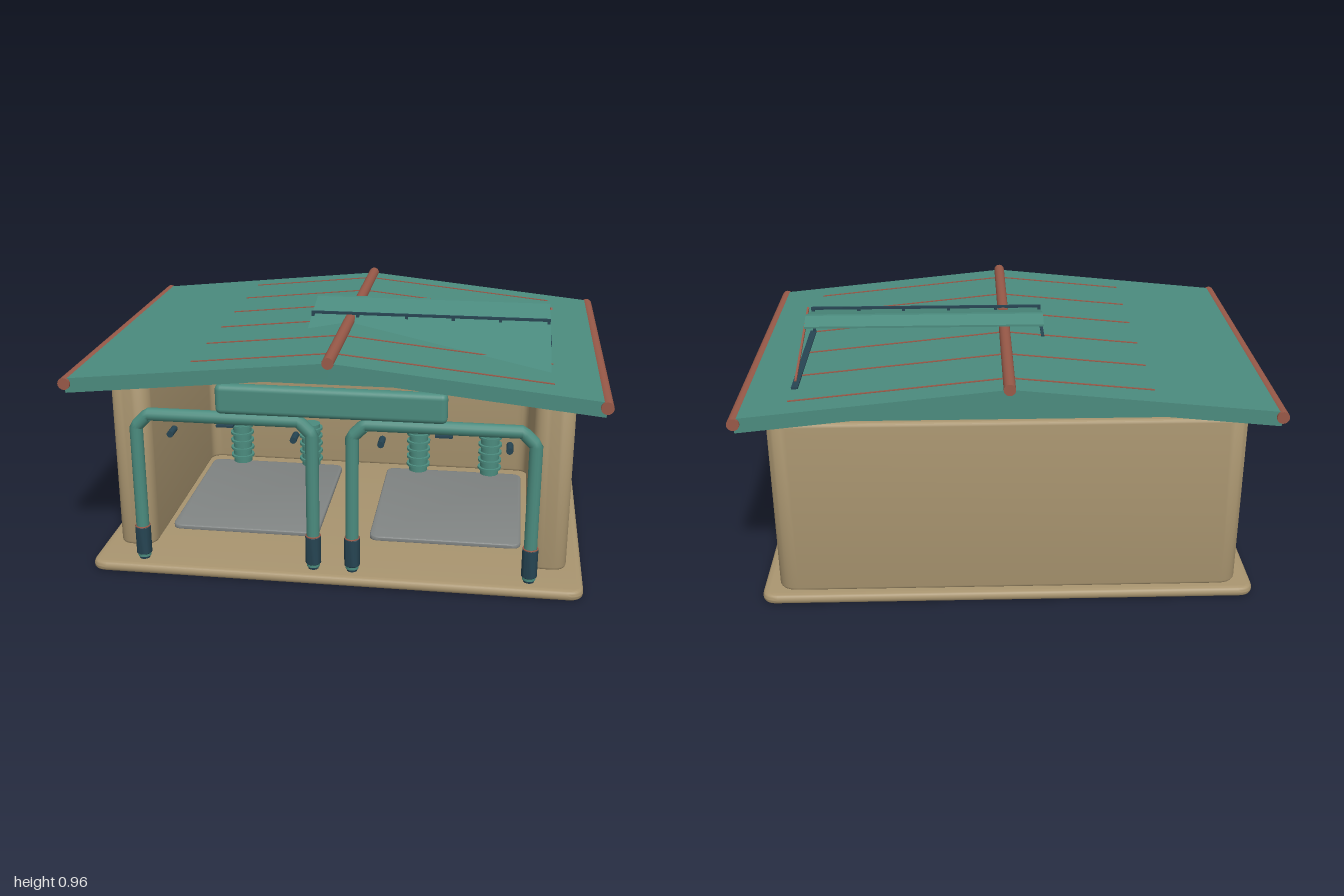
import * as THREE from 'three';
import { toCreasedNormals } from 'three/addons/utils/BufferGeometryUtils.js';
import { RoundedBoxGeometry } from 'three/addons/geometries/RoundedBoxGeometry.js';

const material = (name, color, side = THREE.FrontSide) => {
  const m = new THREE.MeshStandardMaterial({ color, side });
  m.name = name;
  return m;
};

export function createModel() {
  const group = new THREE.Group();
  const teal = material('teal', 0x4b8b7e, THREE.DoubleSide);
  const tan = material('tan', 0xa8946f);
  const rust = material('rust', 0x985948);
  const navy = material('dark blue', 0x264452);
  const grey = material('grey', 0x7f8382);

  const add = (name, geometry, mat, x = 0, y = 0, z = 0) => {
    const mesh = new THREE.Mesh(geometry, mat);
    mesh.name = name;
    mesh.position.set(x, y, z);
    group.add(mesh);
    return mesh;
  };
  const box = (name, mat, w, h, d, x, y, z) => add(name, new THREE.BoxGeometry(w, h, d), mat, x, y, z);

  // Closed outline with rounded corners; points are [x, y, radius]
  const roundedShape = (pts) => {
    const shape = new THREE.Shape();
    pts.forEach(([x, y, r], i) => {
      const p = new THREE.Vector2(x, y);
      const toward = (q) => new THREE.Vector2(q[0], q[1]).sub(p).setLength(r).add(p);
      const a = toward(pts[(i + pts.length - 1) % pts.length]);
      const b = toward(pts[(i + 1) % pts.length]);
      if (i) shape.lineTo(a.x, a.y);
      else shape.moveTo(a.x, a.y);
      shape.quadraticCurveTo(x, y, b.x, b.y);
    });
    shape.closePath();
    return shape;
  };
  const rect = (hw, hd, r) => roundedShape([[-hw, -hd, r], [hw, -hd, r], [hw, hd, r], [-hw, hd, r]]);

  // Plan outline (x, -z) raised from y0 to y1 with softened rims
  const raise = (shape, y0, y1, bevel) => {
    const g = new THREE.ExtrudeGeometry(shape, {
      depth: y1 - y0 - 2 * bevel, bevelThickness: bevel, bevelSize: bevel,
      bevelOffset: -bevel, bevelSegments: 4, curveSegments: 8,
    });
    g.rotateX(-Math.PI / 2).translate(0, y0 + bevel, 0);
    return toCreasedNormals(g, 0.7);
  };

  // Base slab and three-sided wall, open at the front
  add('baseSlab', raise(rect(0.95, 0.66, 0.06), 0, 0.04, 0.018), tan);
  const wall = roundedShape([
    [-0.89, -0.49, 0.06], [-0.74, -0.49, 0.06], [-0.74, 0.47, 0.05], [0.74, 0.47, 0.05],
    [0.74, -0.49, 0.06], [0.89, -0.49, 0.06], [0.89, 0.62, 0.08], [-0.89, 0.62, 0.08],
  ]);
  add('walls', raise(wall, 0.035, 0.745, 0.015), tan);

  // Gabled roof and the infill under it
  const alongZ = (pts, z0, z1) => {
    const shape = new THREE.Shape(pts.map(([x, y]) => new THREE.Vector2(x, y)));
    return new THREE.ExtrudeGeometry(shape, { depth: z1 - z0, bevelEnabled: false }).translate(0, 0, z0);
  };
  add('roof', alongZ([[0, 0.905], [-0.985, 0.805], [-0.975, 0.75], [0, 0.85],
    [0.975, 0.75], [0.985, 0.805]], -0.695, 0.695), teal);
  add('gableInfill', alongZ([[-0.74, 0.748], [0.74, 0.748], [0.74, 0.778], [0, 0.853],
    [-0.74, 0.778]], -0.6, 0.47), teal);

  // Ridge and eave tubes, the ridge broken by the dormer
  const rod = (name, mat, r, z0, z1, x, y) =>
    add(name, new THREE.CylinderGeometry(r, r, z1 - z0, 16).rotateX(Math.PI / 2), mat, x, y, (z0 + z1) / 2);
  rod('ridgeTubeFront', rust, 0.022, 0.1, 0.7, 0, 0.905);
  rod('ridgeTubeBack', rust, 0.022, -0.7, -0.05, 0, 0.905);
  for (const s of [-1, 1]) rod('eaveTube', rust, 0.023, -0.705, 0.705, s * 0.977, 0.787);

  // Thin seams lying along the slopes
  const slope = Math.atan(0.1 / 0.985);
  for (const z of [-0.59, -0.355, -0.12, 0.115, 0.345, 0.578]) {
    for (const [x0, x1] of [[-0.53, 0], [0, 0.8]]) {
      const x = (x0 + x1) / 2;
      const seam = box('roofSeam', rust, x1 - x0, 0.006, 0.008, x, 0.905 - Math.abs(x) * 0.1015, z);
      seam.rotation.z = -Math.sign(x) * slope;
    }
  }

  // Dormer: folded shell sinking into the roof
  const shell = new THREE.Shape([
    [0.118, 0.935], [0.055, 0.958], [0.035, 0.957], [-0.45, 0.824],
    [-0.45, 0.816], [0.035, 0.949], [0.055, 0.95], [0.118, 0.927],
  ].map(([z, y]) => new THREE.Vector2(-z, y)));
  const shellGeo = new THREE.ExtrudeGeometry(shell, { depth: 0.945, bevelEnabled: false });
  add('dormerShell', shellGeo.rotateY(-Math.PI / 2).translate(0.79, 0, 0), teal);

  // Dormer frame, posts and side trim
  box('dormerTopRail', navy, 0.945, 0.01, 0.01, 0.3175, 0.93, 0.115);
  for (const x of [-0.15, 0.03, 0.225, 0.41, 0.595, 0.782]) {
    const foot = 0.9 - Math.abs(x) * 0.1015;
    box('dormerPost', navy, 0.012, 0.93 - foot, 0.012, x, (0.93 + foot) / 2, 0.113);
  }
  box('dormerSideSill', navy, 0.025, 0.012, 0.6, 0.787, 0.826, -0.182);
  box('dormerShortSill', navy, 0.012, 0.01, 0.25, -0.15, 0.891, -0.01);
  const trim = box('dormerTrim', rust, 0.008, 0.009, 0.48, 0.791, 0.894, -0.19);
  trim.rotation.x = -Math.atan(0.133 / 0.485);

  // Rounded header box hanging under the front gable
  add('headerBox', new RoundedBoxGeometry(0.85, 0.115, 0.05, 4, 0.022), teal, 0, 0.738, 0.643);

  // Two identical bays
  const mat = raise(rect(0.305, 0.36, 0.04), 0.036, 0.058, 0.006);
  for (const s of [-1, 1]) {
    const cx = s * 0.41;
    add('floorMat', mat, grey, cx, 0, -0.03);

    // Pipe arch with chamfered corners
    const path = new THREE.CurvePath();
    const pts = [[-0.335, 0.06], [-0.335, 0.6], [-0.285, 0.65], [0.285, 0.65], [0.335, 0.6], [0.335, 0.06]]
      .map(([x, y]) => new THREE.Vector3(x, y, 0));
    for (let i = 0; i < pts.length - 1; i++) path.add(new THREE.LineCurve3(pts[i], pts[i + 1]));
    add('pipeArch', new THREE.TubeGeometry(path, 120, 0.025, 14), teal, cx, 0, 0.61);

    // Sleeves on the feet of the arch
    for (const t of [-1, 1]) {
      const profile = [[0, 0.05], [0.02, 0.05], [0.024, 0.07], [0.03, 0.075], [0.03, 0.185], [0.025, 0.19], [0, 0.19]]
        .map(([r, y]) => new THREE.Vector2(r, y));
      const sleeve = toCreasedNormals(new THREE.LatheGeometry(profile, 18), 0.6);
      add('pipeSleeve', sleeve, navy, cx + t * 0.335, 0, 0.61);
      add('sleeveRim', new THREE.TorusGeometry(0.027, 0.003, 6, 18).rotateX(Math.PI / 2), rust, cx + t * 0.335, 0.188, 0.61);

      // Ribbed posts at the rear of the bay
      const px = cx + t * 0.162;
      add('ribbedPost', new THREE.CylinderGeometry(0.042, 0.042, 0.2, 18), teal, px, 0.17, -0.36);
      for (let i = 0; i < 5; i++) {
        add('postRib', new THREE.CylinderGeometry(0.053, 0.053, 0.01, 18), teal, px, 0.1 + i * 0.037, -0.36);
      }

      // Small pegs
      rod('peg', navy, 0.013, 0.43, 0.495, cx + t * 0.242, 0.525);
    }
    box('latchPlate', navy, 0.065, 0.008, 0.06, cx, 0.606, 0.56);
  }
  return group;
}
